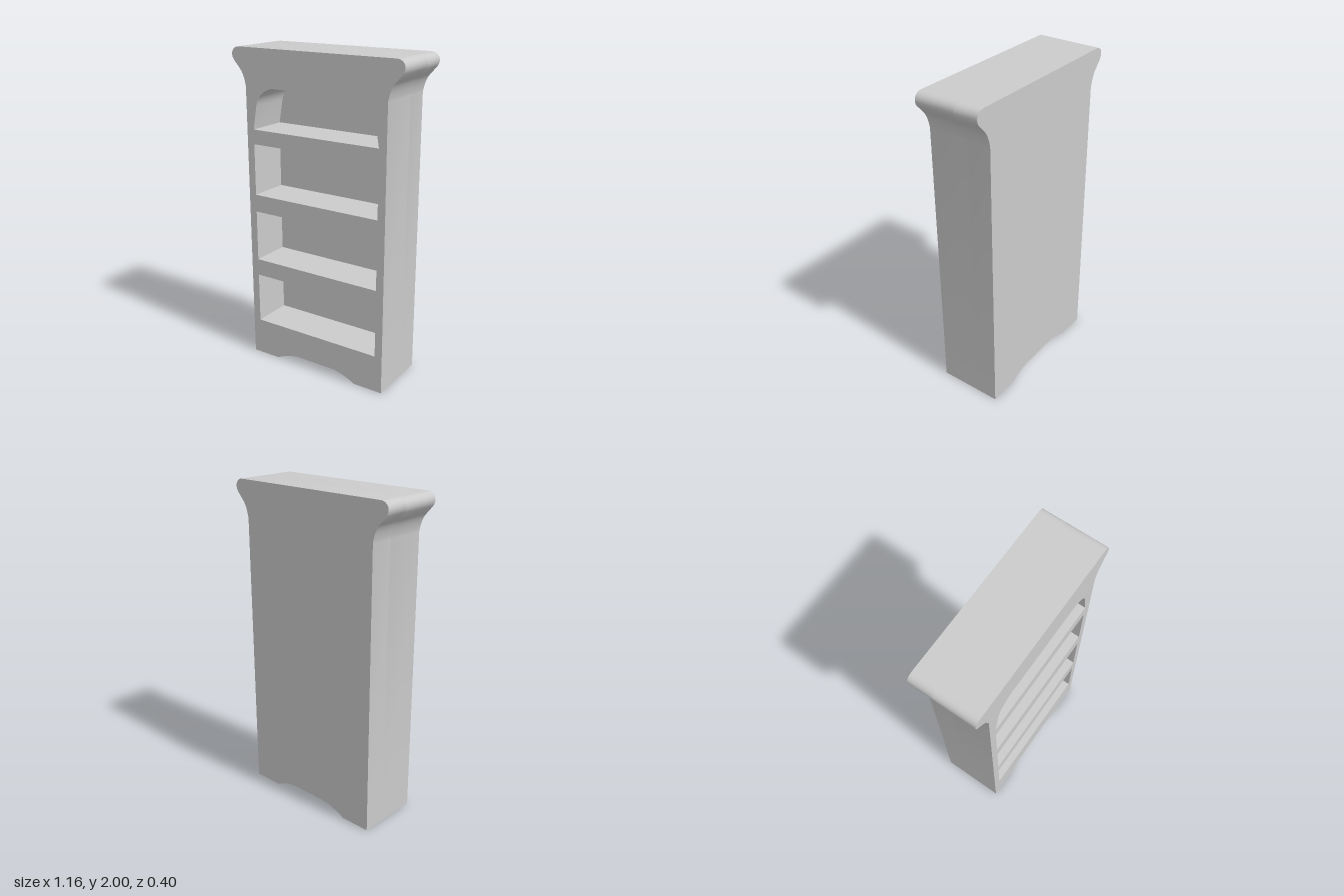
import * as THREE from 'three';
import { toCreasedNormals } from 'three/addons/utils/BufferGeometryUtils.js';

const HALF_DEPTH = 0.202;
const RECESS_BACK = -0.055;

// Closed outline from its right half, mirrored across x = 0
function mirrored(half) {
  const right = half.getPoints(8);
  const left = right.map((p) => new THREE.Vector2(-p.x, p.y)).reverse();
  return [...right, ...left];
}

// Silhouette: arched foot, straight side, flared cornice with a rounded lip
function outline() {
  const half = new THREE.Path();
  half.moveTo(0.12, 0.052);
  half.quadraticCurveTo(0.2, 0.05, 0.293, 0);
  half.lineTo(0.485, 0);
  half.lineTo(0.485, 1.77);
  half.quadraticCurveTo(0.498, 1.845, 0.53, 1.876);
  half.lineTo(0.57, 1.921);
  half.bezierCurveTo(0.597, 1.955, 0.578, 2, 0.53, 2);
  return mirrored(half);
}

function compartment(bottom, top) {
  const half = new THREE.Path();
  half.moveTo(0.436, bottom);
  half.lineTo(0.436, top);
  return new THREE.Path(mirrored(half));
}

function archedCompartment() {
  const half = new THREE.Path();
  half.moveTo(0.436, 1.513);
  half.lineTo(0.41, 1.66);
  half.quadraticCurveTo(0.39, 1.748, 0.29, 1.77);
  return new THREE.Path(mirrored(half));
}

function slab(name, holes, zBack, zFront, material) {
  const shape = new THREE.Shape(outline());
  shape.holes.push(...holes);
  const geometry = new THREE.ExtrudeGeometry(shape, { depth: zFront - zBack, bevelEnabled: false });
  geometry.translate(0, 0, zBack);
  const mesh = new THREE.Mesh(toCreasedNormals(geometry, 0.5), material);
  mesh.name = name;
  return mesh;
}

export function createModel() {
  const group = new THREE.Group();
  group.name = 'bookcase';
  const material = new THREE.MeshStandardMaterial({ color: 0xcccccc });

  // Three rectangular compartments below an arched one
  const holes = [[0.237, 0.56], [0.667, 0.99], [1.1, 1.422]].map(([b, t]) => compartment(b, t));
  holes.push(archedCompartment());

  group.add(slab('shelfFrame', holes, RECESS_BACK, HALF_DEPTH, material));
  group.add(slab('backPanel', [], -HALF_DEPTH, RECESS_BACK, material));
  return group;
}
